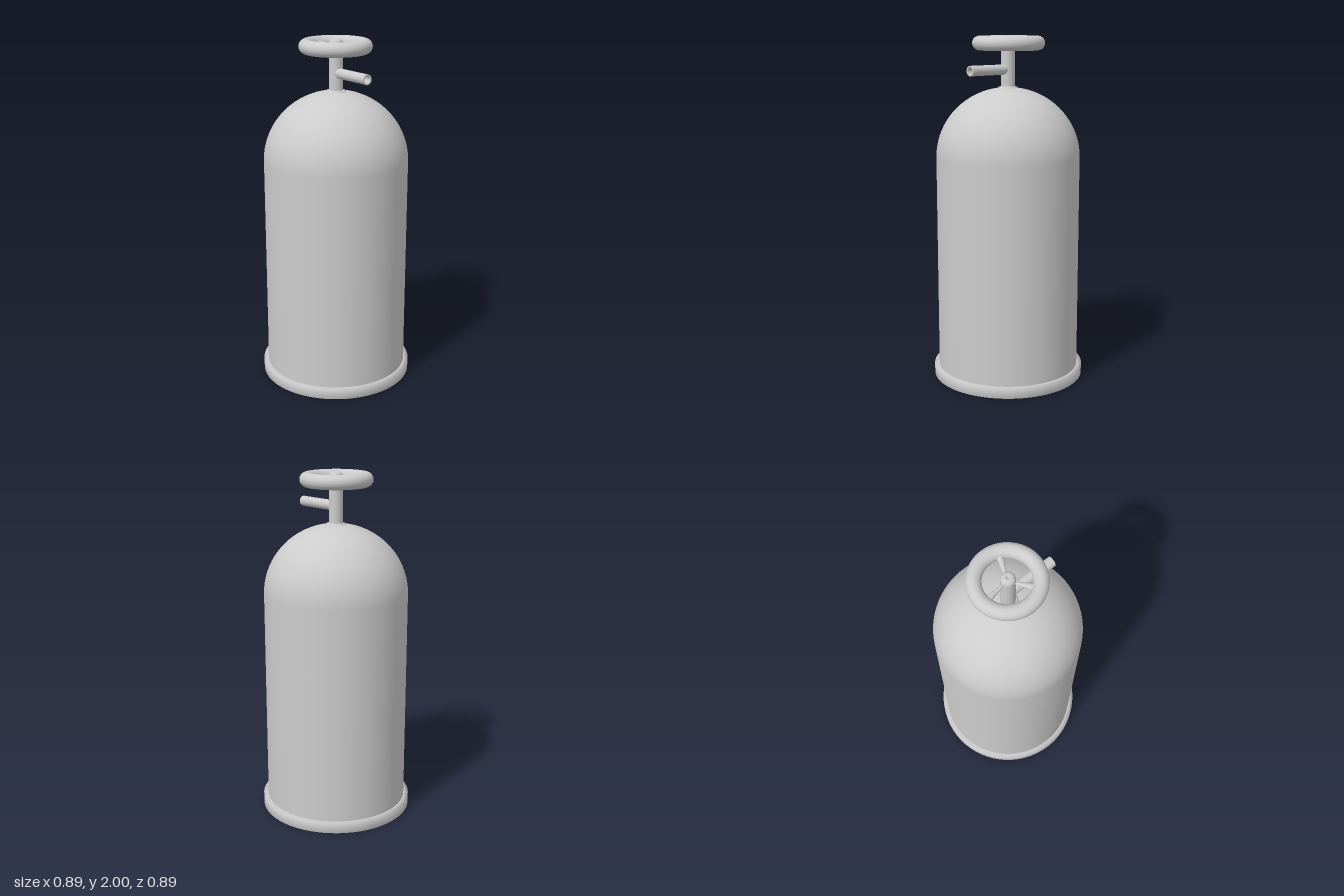
import * as THREE from 'three';

const mat = new THREE.MeshStandardMaterial({ color: 0xcccccc, side: THREE.DoubleSide });

function add(parent, name, geometry, x = 0, y = 0, z = 0) {
  const mesh = new THREE.Mesh(geometry, mat);
  mesh.name = name;
  mesh.position.set(x, y, z);
  parent.add(mesh);
  return mesh;
}

const lathe = (pts, segments = 48) =>
  new THREE.LatheGeometry(pts.map(([r, y]) => new THREE.Vector2(r, y)), segments);

export function createModel() {
  const model = new THREE.Group();
  model.name = 'gasCylinder';

  // Hollow tank, open underneath: straight wall, domed shoulder
  const R = 0.415, shoulder = 1.31, domeHeight = 0.4;
  const wall = [[R, 0.015], [R, 0.06], [R, shoulder]];
  for (let i = 1; i <= 20; i++) {
    const a = (i / 20) * Math.PI / 2;
    wall.push([Math.max(0, R * Math.cos(a)), shoulder + domeHeight * Math.sin(a)]);
  }
  add(model, 'tank', lathe(wall, 64));

  // Foot ring around the open bottom
  add(model, 'footRing', lathe([
    [R, 0.015], [0.425, 0], [0.443, 0], [0.443, 0.06], [R, 0.06],
  ], 64));

  // Collar and valve stem, with a small dimple in the rounded tip
  add(model, 'collar', lathe([[0.057, 1.695], [0.055, 1.712], [0.04, 1.715]], 32));
  add(model, 'valveStem', lathe([
    [0.04, 1.69], [0.04, 1.97], [0.037, 1.985], [0.028, 1.996],
    [0.016, 2], [0.007, 1.996], [0.004, 1.985], [0, 1.983],
  ], 32));

  // Outlet pipe pointing forward, with a bored end
  const pipe = add(model, 'outletPipe', lathe([
    [0.029, 0], [0.029, 0.284], [0.029, 0.285], [0.021, 0.285],
    [0.021, 0.284], [0.021, 0.06], [0, 0.06],
  ], 24), 0, 1.81, 0);
  pipe.rotation.x = Math.PI / 2;

  // Handwheel: rim and three spokes that widen outwards
  const wheel = new THREE.Group();
  wheel.name = 'handwheel';
  wheel.position.set(0, 1.958, -0.004);
  model.add(wheel);
  add(wheel, 'rim', new THREE.TorusGeometry(0.166, 0.041, 20, 56)).rotation.x = Math.PI / 2;
  for (let i = 0; i < 3; i++) {
    const spoke = new THREE.Group();
    spoke.name = 'spoke' + (i + 1);
    spoke.rotation.y = THREE.MathUtils.degToRad(98 + i * 120);
    const cone = add(spoke, 'spokeBar', new THREE.CylinderGeometry(0.021, 0.006, 0.13, 16), 0.085, 0, 0);
    cone.rotation.z = -Math.PI / 2;
    wheel.add(spoke);
  }

  return model;
}
